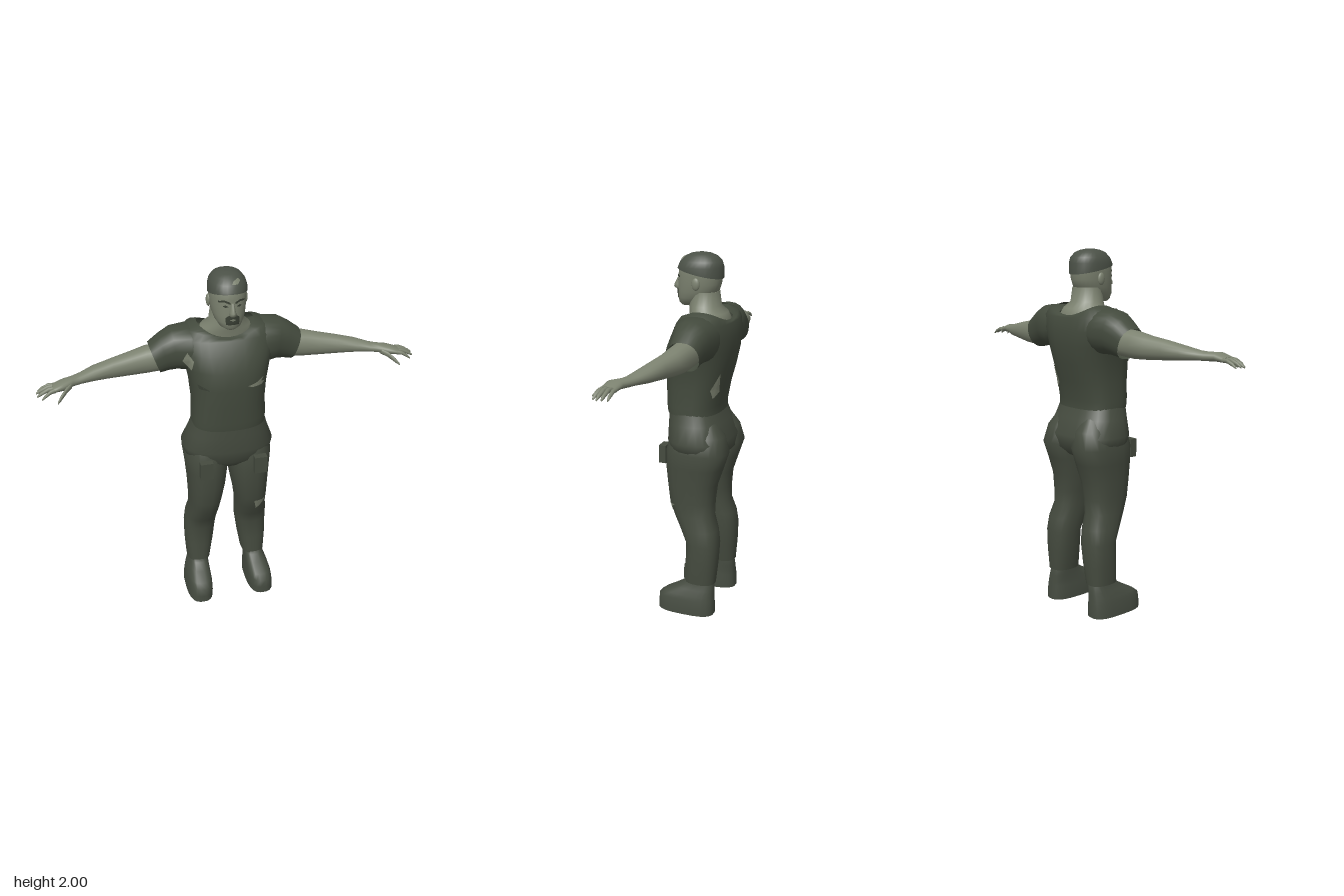
import * as THREE from 'three';

const paint = (name, color) => {
  const m = new THREE.MeshStandardMaterial({ color, side: THREE.DoubleSide });
  m.name = name;
  return m;
};
const skin = paint('skin', 0x7c8270);
const shirtCloth = paint('shirt cloth', 0x434a3d);
const trouserCloth = paint('trouser cloth', 0x454b3f);
const bootLeather = paint('boot leather', 0x464c41);
const hairColor = paint('hair', 0x4b5147);
const dark = paint('dark detail', 0x3a4035);

// Loft of rounded cross-sections. Row: [position, low, high, zFront, zBack].
// On axis y low/high are x limits; on axis x they are y limits.
function loft(rows, { axis = 'y', n = 2, seg = 22, warp, caps = true } = {}) {
  const pos = [], idx = [], v = new THREE.Vector3();
  const pw = (c) => Math.sign(c) * Math.abs(c) ** (2 / n);
  rows.forEach(([t, a0, a1, zf, zb]) => {
    for (let i = 0; i < seg; i++) {
      const th = (i / seg) * Math.PI * 2;
      const a = (a0 + a1) / 2 + ((a1 - a0) / 2) * pw(Math.cos(th));
      const s = ((zf - zb) / 2) * pw(Math.sin(th));
      const zc = (zf + zb) / 2;
      if (axis === 'y') v.set(a, t, zc + s);
      else v.set(t, a, zc - s);
      if (warp) warp(v, t);
      pos.push(v.x, v.y, v.z);
    }
  });
  for (let r = 0; r < rows.length - 1; r++) {
    for (let i = 0; i < seg; i++) {
      const a = r * seg + i, b = r * seg + ((i + 1) % seg);
      idx.push(a, a + seg, b, b, a + seg, b + seg);
    }
  }
  // Caps have their own corners so the rim stays sharp
  if (caps) {
    [0, rows.length - 1].forEach((r) => {
      const base = pos.length / 3, mid = [0, 0, 0];
      for (let i = 0; i < seg; i++) {
        for (let k = 0; k < 3; k++) {
          const p = pos[(r * seg + i) * 3 + k];
          pos.push(p);
          mid[k] += p / seg;
        }
      }
      pos.push(...mid);
      for (let i = 0; i < seg; i++) {
        const a = base + i, b = base + ((i + 1) % seg);
        idx.push(base + seg, r ? b : a, r ? a : b);
      }
    });
  }
  return surface(pos, idx);
}

function surface(pos, idx) {
  const g = new THREE.BufferGeometry();
  g.setAttribute('position', new THREE.Float32BufferAttribute(pos, 3));
  g.setIndex(idx);
  g.computeVertexNormals();
  return g;
}

function mirrored(geo) {
  const g = geo.clone().scale(-1, 1, 1);
  const ix = Array.from(g.index.array);
  for (let i = 0; i < ix.length; i += 3) [ix[i], ix[i + 1]] = [ix[i + 1], ix[i]];
  g.setIndex(ix);
  g.computeVertexNormals();
  return g;
}

// Thin patch laid on the targets; corners are [x, y], side is 1 front, -1 back
function patchGeometry(corners, targets, side = 1, lift = 0.005) {
  const ray = new THREE.Raycaster(), K = 5, pos = [], idx = [];
  const c = [0, 1].map((k) => corners.reduce((s, p) => s + p[k], 0) / corners.length);
  corners.forEach((p, e) => {
    const q = corners[(e + 1) % corners.length], grid = {};
    for (let i = 0; i <= K; i++) {
      for (let j = 0; j <= K - i; j++) {
        const [x, y] = [0, 1].map((k) => c[k] + ((p[k] - c[k]) * i + (q[k] - c[k]) * j) / K);
        ray.set(new THREE.Vector3(x, y, side * 2), new THREE.Vector3(0, 0, -side));
        const hit = ray.intersectObjects(targets)[0];
        if (!hit) continue;
        grid[i + '_' + j] = pos.length / 3;
        pos.push(x, y, hit.point.z + side * lift);
      }
    }
    const tri = (...keys) => {
      const t = keys.map((k) => grid[k]);
      if (t.every((k) => k !== undefined)) idx.push(...t);
    };
    for (let i = 0; i < K; i++) {
      for (let j = 0; j < K - i; j++) {
        tri(`${i}_${j}`, `${i + 1}_${j}`, `${i}_${j + 1}`);
        if (i + j < K - 1) tri(`${i + 1}_${j}`, `${i + 1}_${j + 1}`, `${i}_${j + 1}`);
      }
    }
  });
  return surface(pos, idx);
}

export function createModel() {
  const model = new THREE.Group();
  const add = (name, geo, mat) => {
    const m = new THREE.Mesh(geo, mat);
    m.name = name;
    model.add(m);
    return m;
  };
  const pair = (name, geo, mat) => [add(name + 'Left', geo, mat), add(name + 'Right', mirrored(geo), mat)];
  const sym = (rows) => rows.map(([y, w, f, b]) => [y, -w, w, f, b]);

  // Shirt, with a neckline dipping at front and back
  const torso = add('shirt', loft(sym([
    [1.155, 0.2, 0.172, -0.122], [1.2, 0.2, 0.177, -0.122], [1.3, 0.197, 0.18, -0.142],
    [1.4, 0.205, 0.185, -0.17], [1.5, 0.225, 0.178, -0.19], [1.58, 0.25, 0.14, -0.193],
    [1.65, 0.255, 0.105, -0.182], [1.69, 0.215, 0.085, -0.168], [1.712, 0.15, 0.068, -0.153],
  ]), {
    n: 2.5, seg: 32, caps: false,
    warp: (v, t) => {
      const k = t > 1.7 ? 0.055 : t > 1.66 ? 0.04 : 0;
      v.y -= k * Math.max(0, 1 - (v.x / 0.15) ** 2);
    },
  }), shirtCloth);
  const sleeves = pair('sleeve', loft([
    [0.12, 1.5, 1.68, 0.08, -0.16], [0.2, 1.46, 1.7, 0.09, -0.165], [0.27, 1.465, 1.69, 0.06, -0.15],
    [0.32, 1.46, 1.655, 0.045, -0.138], [0.378, 1.45, 1.61, 0.036, -0.13],
  ], {
    axis: 'x', n: 2.3, caps: false,
    warp: (v, t) => { if (t > 0.22) v.x += (v.y - 1.53) * 0.35 * ((t - 0.22) / 0.158); },
  }), shirtCloth);

  // Trousers
  add('trouserSeat', loft(sym([
    [0.89, 0.14, 0.11, -0.12], [0.94, 0.235, 0.155, -0.172], [1.01, 0.252, 0.165, -0.18],
    [1.1, 0.218, 0.165, -0.14], [1.17, 0.198, 0.163, -0.114],
  ]), { n: 2.5, seg: 28 }), trouserCloth);
  const legs = pair('trouserLeg', loft([
    [0.185, 0.098, 0.232, 0.035, -0.14], [0.3, 0.078, 0.24, 0.032, -0.15], [0.42, 0.062, 0.241, 0.03, -0.155],
    [0.5, 0.057, 0.236, 0.065, -0.145], [0.58, 0.05, 0.221, 0.108, -0.12], [0.66, 0.038, 0.222, 0.135, -0.122],
    [0.76, 0.018, 0.227, 0.148, -0.132], [0.86, 0.005, 0.234, 0.158, -0.165], [0.95, 0, 0.244, 0.155, -0.195],
    [1.04, 0.01, 0.222, 0.135, -0.17], [1.11, 0.04, 0.18, 0.1, -0.12],
  ], { n: 2.4 }), trouserCloth);
  pair('pocket', new THREE.BoxGeometry(0.07, 0.1, 0.04).translate(0.15, 0.92, 0.165), trouserCloth);

  // Boots
  pair('boot', loft([
    [0, 0.108, 0.258, 0.19, -0.14], [0.04, 0.107, 0.257, 0.19, -0.14], [0.085, 0.11, 0.25, 0.187, -0.138],
    [0.11, 0.112, 0.244, 0.155, -0.136], [0.145, 0.113, 0.232, 0.09, -0.134], [0.175, 0.113, 0.222, 0.042, -0.13],
    [0.205, 0.113, 0.218, 0.03, -0.12],
  ], { n: 2.8 }), bootLeather);

  // Arms, hands and fingers
  pair('arm', loft([
    [0.3, 1.465, 1.61, 0.03, -0.11], [0.42, 1.457, 1.6, 0.03, -0.105], [0.5, 1.46, 1.583, 0.036, -0.085],
    [0.6, 1.467, 1.567, 0.05, -0.055], [0.7, 1.475, 1.547, 0.07, -0.03], [0.77, 1.48, 1.53, 0.086, 0.008],
    [0.81, 1.48, 1.526, 0.1, 0.028], [0.86, 1.48, 1.527, 0.138, 0.048], [0.915, 1.478, 1.508, 0.142, 0.057],
  ], { axis: 'x', n: 2.2, seg: 16 }), skin);
  const digits = {
    littleFinger: [[0.9, 1.494, 0.066], [0.98, 1.466, 0.064], 0.0105],
    ringFinger: [[0.9, 1.496, 0.088], [0.988, 1.468, 0.091], 0.0115],
    middleFinger: [[0.9, 1.496, 0.11], [0.985, 1.464, 0.119], 0.0115],
    indexFinger: [[0.9, 1.494, 0.13], [0.962, 1.46, 0.148], 0.011],
    thumb: [[0.82, 1.497, 0.1], [0.888, 1.452, 0.186], 0.015],
  };
  for (const [name, [a, b, r]] of Object.entries(digits)) {
    const rows = [[0, 1], [0.4, 1], [0.8, 0.85], [1, 0.4]].map(([t, k]) => {
      const [x, y, z] = a.map((p, i) => p + (b[i] - p) * t);
      const yy = y + 0.012 * Math.sin(t * Math.PI);
      return [x + 0.01 * t * t, yy - r * k, yy + r * k, z + r * k, z - r * k];
    });
    pair(name, loft(rows, { axis: 'x', seg: 10 }), skin);
  }

  // Neck, head and ears
  add('neck', loft(sym([
    [1.6, 0.15, 0.05, -0.155], [1.655, 0.148, 0.058, -0.15], [1.69, 0.13, 0.062, -0.135],
    [1.725, 0.092, 0.07, -0.102], [1.8, 0.082, 0.065, -0.092],
  ])), skin);
  const skull = [
    [1.885, 0.095, 0.13, -0.109], [1.92, 0.094, 0.127, -0.109], [1.95, 0.086, 0.112, -0.1],
    [1.975, 0.066, 0.085, -0.076], [1.988, 0.043, 0.055, -0.045], [1.994, 0.015, 0.02, -0.012],
  ];
  const head = add('head', loft(sym([
    [1.72, 0.03, 0.115, 0.04], [1.735, 0.056, 0.128, 0], [1.765, 0.075, 0.133, -0.05],
    [1.8, 0.086, 0.134, -0.088], [1.84, 0.092, 0.132, -0.102], ...skull,
  ]), { n: 2.15, seg: 28 }), skin);
  add('nose', loft(sym([
    [1.8, 0.014, 0.145, 0.1], [1.812, 0.02, 0.164, 0.1], [1.825, 0.016, 0.162, 0.1], [1.87, 0.009, 0.137, 0.1],
  ]), { seg: 12 }), skin);
  pair('ear', new THREE.SphereGeometry(0.03, 12, 10).scale(0.4, 1.1, 0.75).translate(0.096, 1.845, 0.002), skin);

  // Cropped hair, lower at the back of the head
  const hair = add('hair', loft(sym(skull.map(([y, w, f, b]) => [y + 0.006, w + 0.005, f + 0.005, b - 0.005])), {
    n: 2.15, seg: 28,
    warp: (v, t) => { if (t < 1.9) v.y += 0.2 * v.z; },
  }), hairColor);

  // Face details
  const onHead = (name, pts) => add(name, patchGeometry(pts, [head], 1, 0.004), dark);
  [1, -1].forEach((s) => {
    const flip = (pts) => pts.map(([x, y]) => [x * s, y]);
    onHead('eyebrow', flip([[0.013, 1.866], [0.04, 1.878], [0.068, 1.872], [0.068, 1.88], [0.04, 1.888], [0.013, 1.877]]));
    onHead('eye', flip([[0.02, 1.854], [0.036, 1.849], [0.05, 1.855], [0.036, 1.862]]));
  });
  const beard = onHead('goatee', [[-0.034, 1.755], [0.034, 1.755], [0.036, 1.795], [0.022, 1.806], [-0.022, 1.806], [-0.036, 1.795]]);
  add('lips', patchGeometry([[-0.018, 1.783], [0, 1.777], [0.018, 1.783], [0, 1.79]], [beard], 1, 0.003), skin);
  add('baldPatch', patchGeometry([[0, 1.962], [0.03, 1.96], [0.048, 1.972], [0.036, 1.983], [0.012, 1.975]], [hair]), skin);

  // Tears in the clothing
  const chest = [torso, ...sleeves];
  const tears = [
    ['shoulderTear', [[-0.225, 1.6], [-0.195, 1.555], [-0.207, 1.5], [-0.25, 1.55]], chest, 1, skin],
    ['chestTear', [[0.07, 1.422], [0.12, 1.432], [0.165, 1.452], [0.15, 1.43], [0.175, 1.42], [0.15, 1.41], [0.1, 1.411]], chest, 1, skin],
    ['ribTear', [[-0.185, 1.435], [-0.12, 1.408], [-0.175, 1.408]], chest, 1, dark],
    ['backTear', [[0.125, 1.39], [0.155, 1.3], [0.135, 1.25], [0.095, 1.285]], chest, -1, skin],
    ['kneeTear', [[0.13, 1.645 - 1], [0.21, 0.645], [0.145, 0.575]], legs, 1, skin],
  ];
  tears.forEach(([name, pts, on, side, mat]) => add(name, patchGeometry(pts, on, side), mat));
  return model;
}
